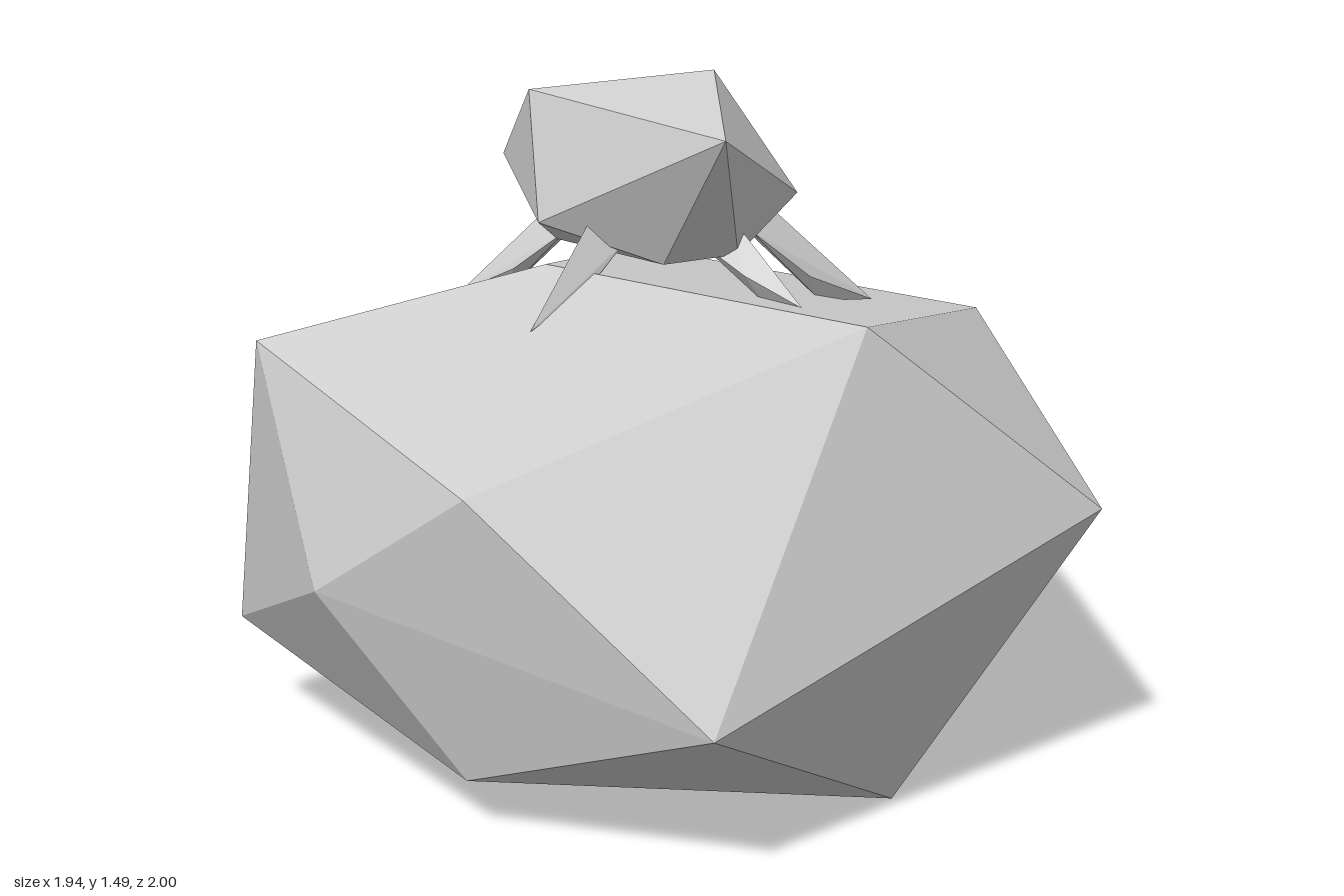
import * as THREE from 'three';
import { ConvexGeometry } from 'three/addons/geometries/ConvexGeometry.js';

const stone = new THREE.MeshStandardMaterial({ color: 0xcccccc });
stone.name = 'pale stone';

// Faceted solid spanned by a few corner points
function facetedSolid(name, corners) {
  const points = corners.map((c) => new THREE.Vector3(...c));
  const mesh = new THREE.Mesh(new ConvexGeometry(points), stone);
  mesh.name = name;
  return mesh;
}

// Tapered prong leaning outwards from the hub to its tip
function prong(hub, tip) {
  const out = new THREE.Vector3(tip[0] - hub[0], 0, tip[2] - hub[1]);
  const reach = out.length();
  out.normalize();
  const at = (r, y, side) => [
    hub[0] + out.x * r - out.z * side,
    y,
    hub[1] + out.z * r + out.x * side,
  ];
  return facetedSolid('prong', [
    at(reach * 0.48, 1.2, 0),
    at(reach * 0.42, 1.13, 0.055),
    at(reach * 0.42, 1.13, -0.055),
    at(reach * 0.7, tip[1] + 0.06, 0.035),
    at(reach * 0.7, tip[1] + 0.06, -0.035),
    at(reach * 0.76, tip[1], 0),
    tip,
  ]);
}

export function createModel() {
  const model = new THREE.Group();
  model.name = 'stackedRocks';

  // Large base boulder
  model.add(facetedSolid('boulder', [
    // crown
    [-0.18, 1.085, 0.36], [-0.30, 1.03, -0.44], [0.54, 0.99, 0.37],
    [-0.73, 0.93, 0.64], [0.48, 0.86, -0.84],
    // waist
    [-0.08, 0.71, 0.975], [-0.80, 0.63, -0.41], [0.97, 0.57, 0.03],
    [-0.46, 0.47, 0.89], [-0.47, 0.39, -1.0], [0.44, 0.30, 1.0],
    [-0.97, 0.22, 0.36],
    // underside
    [0.46, 0.17, -0.63], [-0.14, 0.10, 0.86], [0.62, 0.005, 0.41],
    [0.10, 0.005, -0.37], [-0.64, 0.005, -0.34], [-0.61, 0, 0.27],
  ]));

  // Small rock perched on top
  model.add(facetedSolid('topRock', [
    [0.09, 1.49, 0.05], [-0.27, 1.45, 0.24], [-0.11, 1.38, -0.25],
    [0.24, 1.36, 0.39], [-0.50, 1.28, -0.11], [0.23, 1.21, -0.12],
    [-0.21, 1.17, 0.33], [-0.26, 1.11, 0.12], [0.06, 1.085, 0.28],
    [0.19, 1.10, 0.17], [-0.19, 1.09, -0.13], [0.01, 1.085, -0.15],
  ]));

  // Ring of prongs carrying the small rock
  const prongs = new THREE.Group();
  prongs.name = 'prongs';
  const tips = [
    [-0.13, 0.97, 0.55], [0.36, 1.0, 0.24], [0.38, 0.96, -0.22],
    [-0.17, 1.01, -0.41], [-0.50, 0.98, 0.13],
  ];
  for (const tip of tips) prongs.add(prong([-0.06, 0.04], tip));
  model.add(prongs);

  return model;
}
